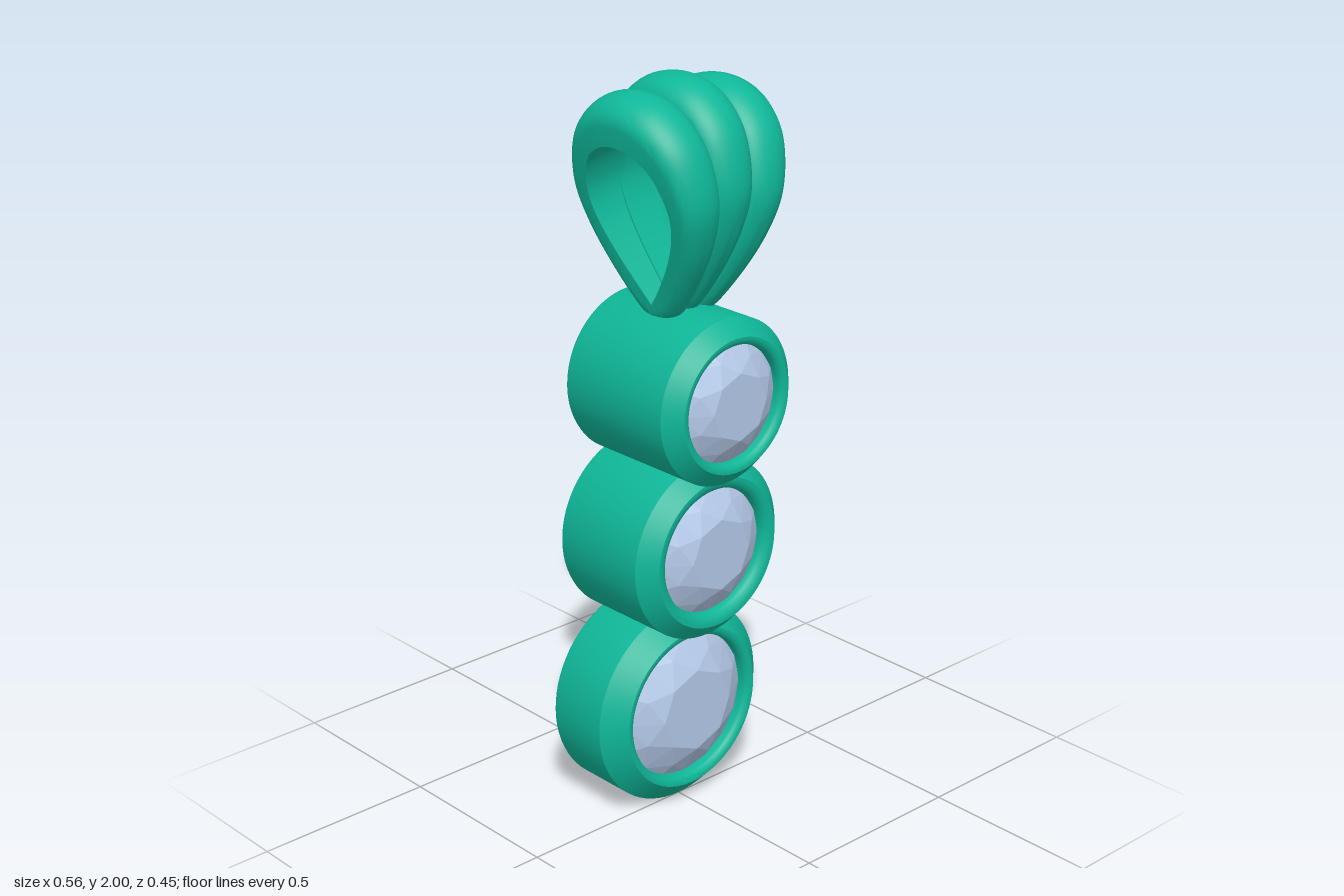
import * as THREE from 'three';
import { toCreasedNormals } from 'three/addons/utils/BufferGeometryUtils.js';

const BACK = -0.185;

// Closed ring profile turned around the z axis: bore, ledge under the stone, chamfered front
function bezelGeometry({ radius: R, front, chamfer: c, bore, seat, girdle }) {
  const f = 0.012, lip = (R - c - seat) * 0.75;
  const pts = [
    [bore, girdle - 0.02], [bore, BACK + f], [bore + f * 0.3, BACK + f * 0.3], [bore + f, BACK],
    [R - f, BACK], [R - f * 0.3, BACK + f * 0.3], [R, BACK + f],
    [R, front - c], [R - c, front], [seat + lip, front],
    [seat + lip * 0.5, front - lip * 0.13], [seat + lip * 0.13, front - lip * 0.5], [seat, front - lip],
    [seat, girdle - 0.02], [bore, girdle - 0.02],
  ].map(([r, z]) => new THREE.Vector2(r, z));
  const geo = new THREE.LatheGeometry(pts, 72);
  geo.rotateX(Math.PI / 2);
  return toCreasedNormals(geo, 0.6);
}

// Round brilliant: eight-sided table, stars, kites, girdle facets and a pointed pavilion
function stoneGeometry(R, table, girdle) {
  const h = table - girdle, pos = [];
  const at = (r, step, z) => {
    const a = step * Math.PI / 8;
    return [r * Math.cos(a), r * Math.sin(a), z];
  };
  const tri = (...p) => p.forEach((v) => pos.push(...v));
  const T = (k) => at(R * 0.56, 2 * k, table);
  const M = (k) => at(R * 0.8, 2 * k + 1, girdle + h * 0.55);
  const G = (j) => at(R, j, girdle);
  for (let k = 0; k < 8; k++) {
    tri([0, 0, table], T(k), T(k + 1));
    tri(T(k), M(k), T(k + 1));
    tri(T(k), M(k - 1), G(2 * k));
    tri(T(k), G(2 * k), M(k));
    tri(M(k), G(2 * k), G(2 * k + 1));
    tri(M(k), G(2 * k + 1), G(2 * k + 2));
  }
  for (let j = 0; j < 16; j++) tri([0, 0, girdle - R * 0.8], G(j + 1), G(j));
  const geo = new THREE.BufferGeometry();
  geo.setAttribute('position', new THREE.Float32BufferAttribute(pos, 3));
  geo.computeVertexNormals();
  return geo;
}

// Teardrop curve in the (z, y) plane, mirrored over the top
function teardrop(half) {
  const mirrored = half.slice(0, -1).reverse().map(([z, y]) => [-z, y]);
  return new THREE.SplineCurve([...half, ...mirrored].map(([z, y]) => new THREE.Vector2(z, y)));
}

// Teardrop loop with a flat inside, flat rims and a domed outside, narrowing downwards
function loopGeometry() {
  const inner = teardrop([[0, 1.44], [0.035, 1.485], [0.092, 1.57], [0.136, 1.66],
    [0.147, 1.74], [0.118, 1.825], [0.065, 1.87], [0, 1.885]]);
  const crest = teardrop([[0, 1.385], [0.055, 1.405], [0.135, 1.51], [0.198, 1.63],
    [0.225, 1.75], [0.192, 1.885], [0.108, 1.972], [0, 2.0]]);
  const N = 96, DOME = 18, S = DOME + 3;
  const pos = [], index = [];
  for (let i = 0; i <= N; i++) {
    const a = inner.getPoint(i / N), b = crest.getPoint(i / N);
    const w = THREE.MathUtils.mapLinear((a.y + b.y) / 2, 1.4, 1.94, 0.034, 0.081);
    const section = [[-w, 0], [w, 0]];
    for (let j = 0; j <= DOME; j++) {
      const t = Math.PI * j / DOME;
      section.push([w * Math.cos(t), 0.45 + 0.55 * Math.sin(t)]);
    }
    for (const [x, k] of section) pos.push(x, a.y + (b.y - a.y) * k, a.x + (b.x - a.x) * k);
  }
  for (let i = 0; i < N; i++) {
    for (let j = 0; j < S; j++) {
      const a = i * S + j, b = i * S + (j + 1) % S;
      index.push(a, a + S, b, b, a + S, b + S);
    }
  }
  const geo = new THREE.BufferGeometry();
  geo.setAttribute('position', new THREE.Float32BufferAttribute(pos, 3));
  geo.setIndex(index);
  return toCreasedNormals(geo, 0.7);
}

export function createModel() {
  const model = new THREE.Group();
  model.name = 'pendant';
  const metal = new THREE.MeshStandardMaterial({ color: 0x0fb799 });
  const gem = new THREE.MeshStandardMaterial({ color: 0xb4c9e8, flatShading: true });
  const add = (parent, name, geo, mat) => {
    const mesh = new THREE.Mesh(geo, mat);
    mesh.name = name;
    parent.add(mesh);
    return mesh;
  };

  // Three stone settings, smaller and deeper towards the top
  const settings = [
    { name: 'lower', y: 0.283, radius: 0.281, front: 0.055, chamfer: 0.055, bore: 0.19, seat: 0.202, girdle: 0.017, table: 0.075 },
    { name: 'middle', y: 0.766, radius: 0.247, front: 0.15, chamfer: 0.043, bore: 0.16, seat: 0.17, girdle: 0.115, table: 0.164 },
    { name: 'upper', y: 1.19, radius: 0.221, front: 0.217, chamfer: 0.042, bore: 0.142, seat: 0.156, girdle: 0.183, table: 0.229 },
  ];
  for (const s of settings) {
    const setting = new THREE.Group();
    setting.name = s.name + 'Setting';
    setting.position.y = s.y;
    add(setting, s.name + 'Bezel', bezelGeometry(s), metal);
    add(setting, s.name + 'Stone', stoneGeometry(s.seat * 1.03, s.table, s.girdle), gem);
    model.add(setting);
  }

  // Hanging bail: three loops fanned out about a point inside the upper setting
  const bail = new THREE.Group();
  bail.name = 'bail';
  const loop = loopGeometry();
  const pivot = 1.1;
  [['rightLoop', -1], ['centreLoop', 0], ['leftLoop', 1]].forEach(([name, side]) => {
    const arm = new THREE.Group();
    arm.name = name + 'Arm';
    arm.position.y = pivot;
    arm.rotation.z = -side * 0.172;
    if (side) arm.scale.y = 0.984;
    add(arm, name, loop, metal).position.y = -pivot;
    bail.add(arm);
  });
  model.add(bail);
  return model;
}
